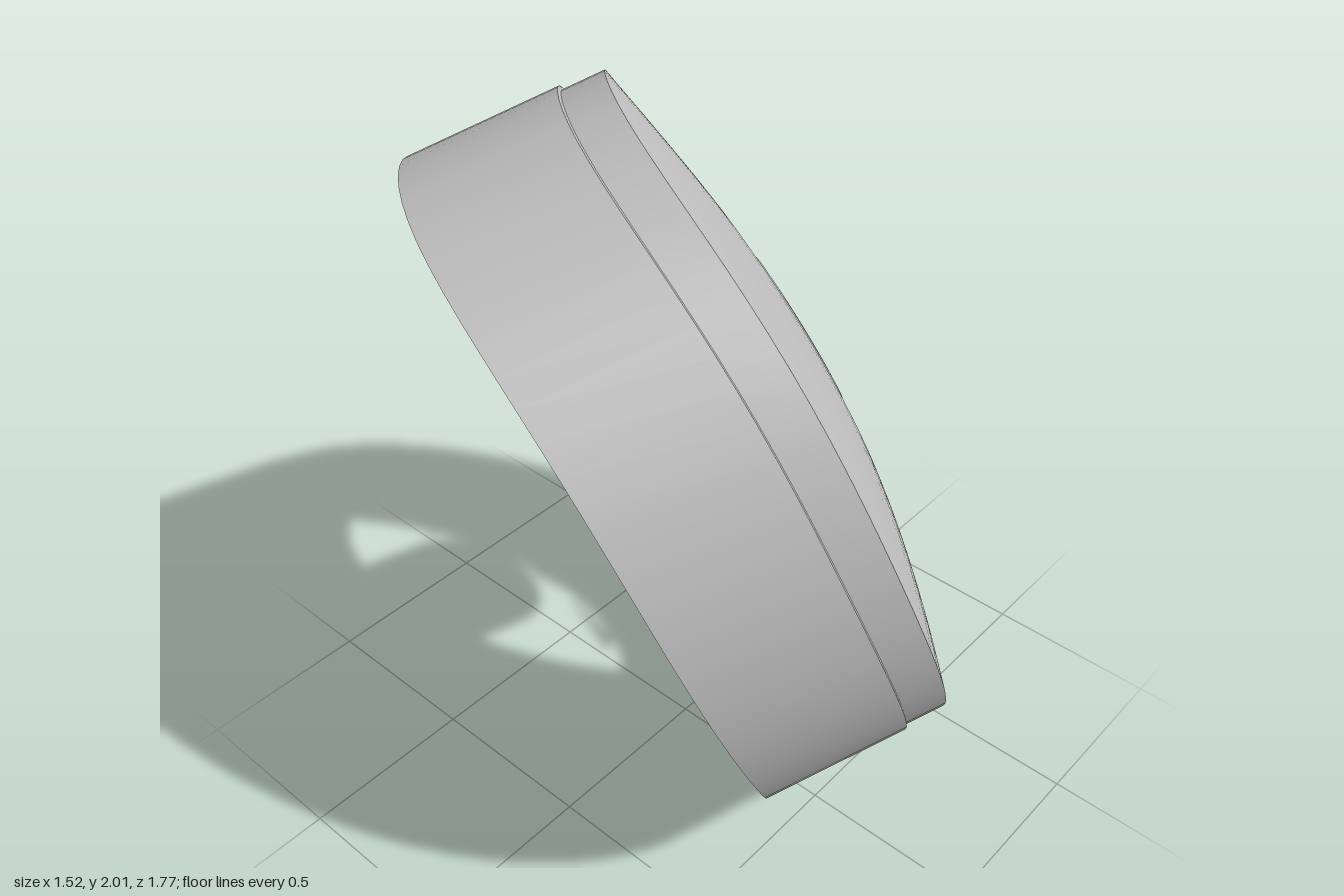
import * as THREE from 'three';

const SIDES = 72;
// Oblique frame: centre of the front face, its two half axes, and the shift to the back
const C = new THREE.Vector3(0.217, 1.085, 0.126);
const U = new THREE.Vector3(0.415, 0, -0.735);
const V = new THREE.Vector3(-0.33, 0.918, -0.185);
const N = new THREE.Vector3().crossVectors(U, V).normalize();
const D = new THREE.Vector3(-0.43, -0.16, -0.242);

// Height of the gently warped dome over the plane of the half axes
function dome(a, b) {
  const wave = 0.05 * a * b * b + 0.1 * a * a * b * b - 0.03 * b * b;
  return 0.15 * (1 - a * a - b * b) + wave;
}

// Point on the domed surface, shifted back by depth d (0 = front, 1 = back)
function surf(a, b, d) {
  return C.clone().addScaledVector(U, a).addScaledVector(V, b)
    .addScaledVector(N, dome(a, b)).addScaledVector(D, d);
}

// Ellipse outline in surface coordinates
const ellipse = (ca, cb, ra, rb) => (t) => [ca + ra * Math.cos(t), cb + rb * Math.sin(t)];
const frontRim = ellipse(0, 0, 1, 1);
const backRim = ellipse(0, 0, 1.012, 1.012);
const hole = ellipse(0.14, -0.06, 0.58, 0.625);
const pin = ellipse(-0.03, 0.21, 0.255, 0.21);
const pinCentre = ellipse(-0.03, 0.21, 0, 0);

// Skin between two outlines, each at its own depth
function skin(name, material, from, d0, to, d1, steps = 1) {
  const pos = [], index = [];
  for (let i = 0; i <= steps; i++) {
    const k = i / steps;
    for (let j = 0; j < SIDES; j++) {
      const t = (j / SIDES) * Math.PI * 2;
      const p = from(t), q = to(t);
      const v = surf(p[0] + (q[0] - p[0]) * k, p[1] + (q[1] - p[1]) * k, d0 + (d1 - d0) * k);
      pos.push(v.x, v.y, v.z);
      if (i === steps) continue;
      const a = i * SIDES + j, b = i * SIDES + ((j + 1) % SIDES);
      index.push(a, b, b + SIDES, a, b + SIDES, a + SIDES);
    }
  }
  const g = new THREE.BufferGeometry();
  g.setAttribute('position', new THREE.Float32BufferAttribute(pos, 3));
  g.setIndex(index);
  g.computeVertexNormals();
  const mesh = new THREE.Mesh(g, material);
  mesh.name = name;
  return mesh;
}

export function createModel() {
  const grey = new THREE.MeshStandardMaterial({ color: 0xc0c0c0, side: THREE.DoubleSide });
  grey.name = 'grey';
  const model = new THREE.Group();
  model.name = 'domedRingWithPin';

  // Ring: wide rear wall, small ledge, narrower front wall, faces and bore
  const ring = new THREE.Group();
  ring.name = 'ring';
  ring.add(
    skin('rearWall', grey, backRim, 1, backRim, 0.22),
    skin('ledge', grey, backRim, 0.22, frontRim, 0.22),
    skin('frontWall', grey, frontRim, 0.22, frontRim, 0),
    skin('frontFace', grey, frontRim, 0, hole, 0, 8),
    skin('boreWall', grey, hole, 0, hole, 1),
    skin('backFace', grey, hole, 1, backRim, 1, 8),
  );

  // Pin standing free inside the bore
  const pinGroup = new THREE.Group();
  pinGroup.name = 'pin';
  pinGroup.add(
    skin('pinWall', grey, pin, 0.97, pin, 0),
    skin('pinFront', grey, pin, 0, pinCentre, 0, 4),
    skin('pinBack', grey, pinCentre, 0.97, pin, 0.97, 4),
  );

  // Thin slivers on the back edge of the bore, three corners each
  const slivers = [
    [-0.2, 0.46], [0.22, 0.52], [0, 0.58],
    [-0.46, 0.16], [-0.31, -0.19], [-0.43, 0.1],
    [-0.31, -0.19], [-0.45, -0.16], [-0.45, -0.22],
    [-0.31, -0.19], [-0.26, -0.5], [-0.31, -0.45],
    [0.42, 0.49], [0.53, 0.16], [0.49, 0.46],
    [0.53, 0.16], [0.71, 0.1], [0.67, 0.23],
    [0.67, -0.18], [0.72, -0.2], [0.72, -0.16],
    [0.43, -0.58], [0.1, -0.64], [0.19, -0.68],
    [0.43, -0.58], [0.52, -0.53], [0.64, -0.4],
  ];
  const g = new THREE.BufferGeometry().setFromPoints(slivers.map(([a, b]) => surf(a, b, 1)));
  g.computeVertexNormals();
  const burrs = new THREE.Mesh(g, grey);
  burrs.name = 'boreBurrs';

  model.add(ring, pinGroup, burrs);
  return model;
}
